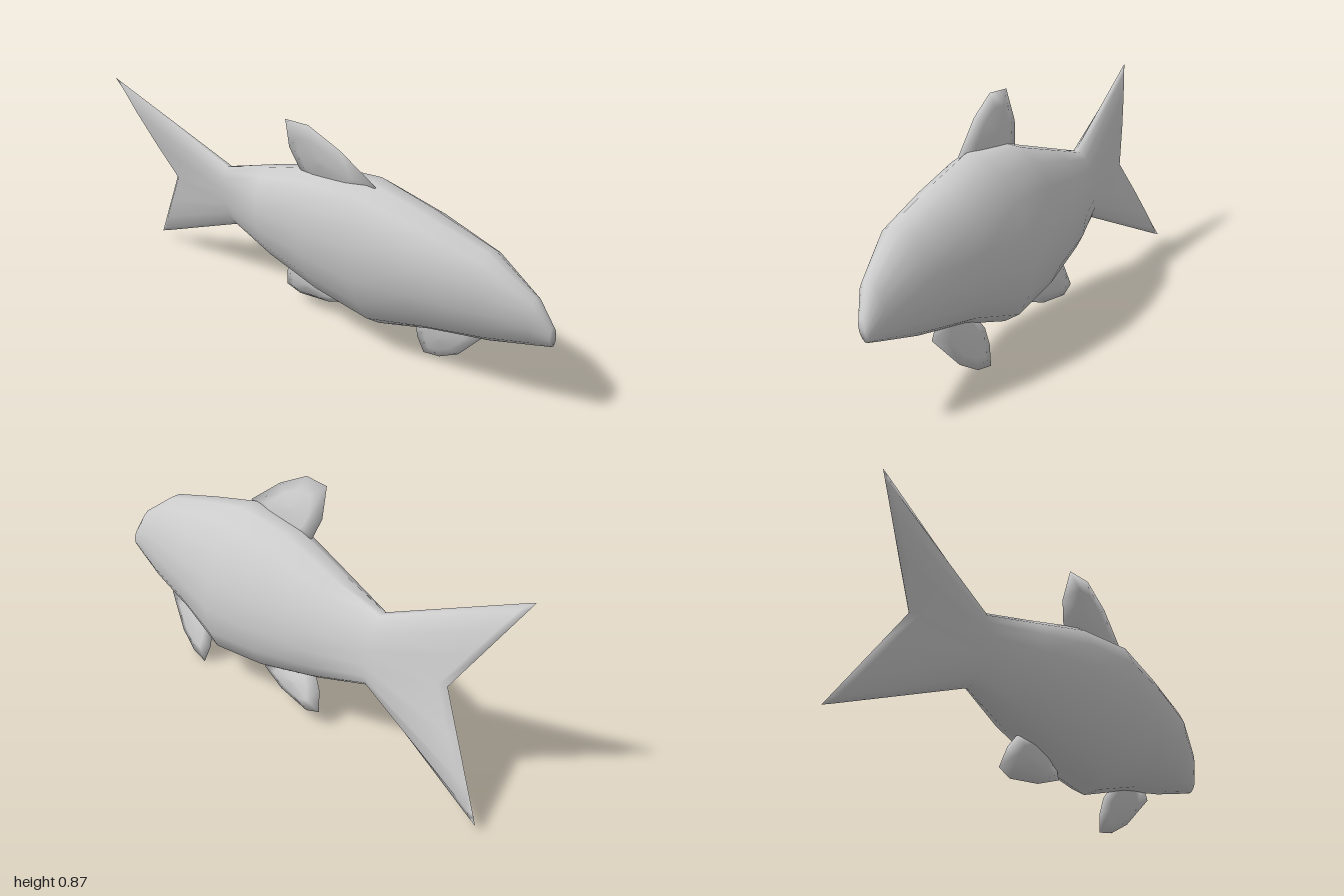
import * as THREE from 'three';

const ROLL = 0.245, YAW = 0.025, MID = 0.41;
const material = new THREE.MeshStandardMaterial({ color: 0xcccccc, side: THREE.DoubleSide });

// Smooth skin over closed rings that all have the same number of points
function loft(name, rings) {
  const n = rings[0].length, index = [];
  for (let r = 0; r < rings.length - 1; r++) {
    for (let i = 0; i < n; i++) {
      const a = r * n + i, b = r * n + (i + 1) % n;
      index.push(a, b, a + n, b, b + n, a + n);
    }
  }
  const geometry = new THREE.BufferGeometry();
  geometry.setAttribute('position', new THREE.Float32BufferAttribute(rings.flat(2), 3));
  geometry.setIndex(index);
  geometry.computeVertexNormals();
  const mesh = new THREE.Mesh(geometry, material);
  mesh.name = name;
  return mesh;
}

// Elliptical section; sweep pulls its upper and lower ends backwards
function section(z, y, halfHeight, halfWidth, sweep = 0, x = 0) {
  return Array.from({ length: 16 }, (_, i) => {
    const t = i / 16 * Math.PI * 2, c = Math.cos(t);
    return [x + halfWidth * Math.sin(t), y + halfHeight * c, z - sweep * Math.abs(c)];
  });
}

// Lens-shaped fin from an outline of [z, height] points
function fin(name, outline, thickness, x = 0) {
  const pts = outline.map(([z, y]) => [z, (y - MID) / Math.cos(ROLL)]);
  const cz = pts.reduce((s, p) => s + p[0], 0) / pts.length;
  const cy = pts.reduce((s, p) => s + p[1], 0) / pts.length;
  const ring = (k, dx) => pts.map(([z, y]) => [x + dx, cy + (y - cy) * k, cz + (z - cz) * k]);
  const h = thickness / 2;
  return loft(name, [ring(0, h), ring(0.6, h * 0.85), ring(1, 0), ring(0.6, -h * 0.85), ring(0, -h)]);
}

export function createModel() {
  const root = new THREE.Group();
  root.name = 'fish';

  // The whole fish leans to its right and turns slightly
  const fish = new THREE.Group();
  fish.name = 'leaningFish';
  fish.position.y = MID;
  fish.rotation.set(0, YAW, ROLL);
  root.add(fish);

  // Body running into the forked tail, nose to trailing edge
  fish.add(loft('bodyAndTail', [
    section(1.0, -0.075, 0, 0),
    section(1.0, -0.072, 0.04, 0.02),
    section(0.94, -0.03, 0.1, 0.047),
    section(0.77, 0.005, 0.184, 0.104),
    section(0.53, 0.012, 0.242, 0.152),
    section(0.3, 0, 0.309, 0.178),
    section(0.05, 0.004, 0.28, 0.16),
    section(-0.2, 0, 0.209, 0.123),
    section(-0.43, 0.004, 0.138, 0.056, 0, -0.008),
    section(-0.73, 0.008, 0.382, 0.024, 0.24, -0.012),
    section(-0.755, 0.008, 0.392, 0, 0.24, -0.012),
  ]));

  // Back fin, outlined front to back over the top
  fish.add(fin('dorsalFin', [
    [0.34, 0.705], [0.2, 0.81], [0.07, 0.873], [-0.04, 0.868],
    [-0.05, 0.75], [-0.02, 0.67], [0.05, 0.62], [0.25, 0.63],
  ], 0.035, -0.01));

  // Belly fins, outlined back to front underneath
  fish.add(fin('frontBellyFin', [
    [0.42, 0.13], [0.415, 0.07], [0.435, 0.0], [0.51, 0.015],
    [0.6, 0.07], [0.71, 0.195], [0.65, 0.26], [0.48, 0.22],
  ], 0.026));
  fish.add(fin('rearBellyFin', [
    [-0.16, 0.2], [-0.195, 0.15], [-0.215, 0.072], [-0.15, 0.05],
    [0, 0.072], [0.11, 0.115], [0.06, 0.19], [-0.06, 0.24],
  ], 0.05, -0.025));

  return root;
}
